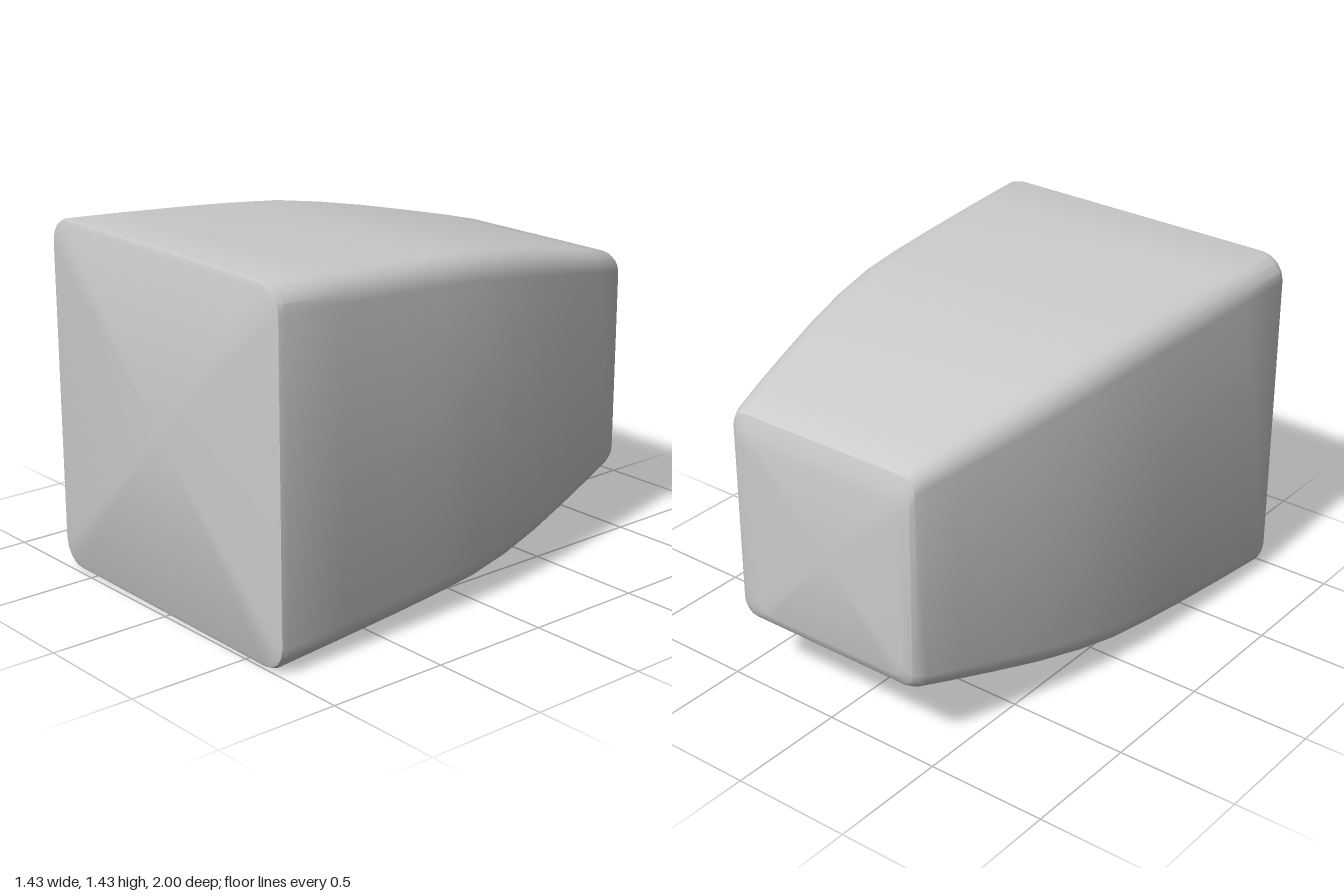
import * as THREE from 'three';
import { toCreasedNormals } from 'three/addons/utils/BufferGeometryUtils.js';

const CORNER_STEPS = 4;

// Cross-sections from front to back: z, left x, right x, bottom y, top y, corner radius
const SECTIONS = [
  [1.0, -0.695, 0.69, 0.02, 1.41, 0.09],
  [0.993, -0.711, 0.706, 0.006, 1.43, 0.1],
  [0.97, -0.718, 0.713, 0.0, 1.435, 0.105],
  [0.7, -0.703, 0.702, 0.018, 1.423, 0.1],
  [0.4, -0.682, 0.69, 0.037, 1.408, 0.1],
  [0.2, -0.665, 0.681, 0.052, 1.396, 0.1],
  [0.0, -0.645, 0.668, 0.07, 1.38, 0.1],
  [-0.2, -0.613, 0.643, 0.099, 1.35, 0.1],
  [-0.4, -0.572, 0.605, 0.139, 1.313, 0.095],
  [-0.6, -0.524, 0.56, 0.186, 1.271, 0.09],
  [-0.8, -0.472, 0.51, 0.236, 1.227, 0.08],
  [-0.94, -0.432, 0.473, 0.272, 1.192, 0.07],
  [-0.972, -0.418, 0.458, 0.288, 1.172, 0.065],
  [-0.988, -0.403, 0.43, 0.305, 1.12, 0.06],
  [-1.0, -0.36, 0.34, 0.34, 1.06, 0.05],
];

// Rounded rectangle, counter-clockwise as seen from the front
function ringPoints([z, x0, x1, y0, y1, r], isFront) {
  const centres = [[x1 - r, y0 + r], [x1 - r, y1 - r], [x0 + r, y1 - r], [x0 + r, y0 + r]];
  const points = [];
  centres.forEach(([cx, cy], corner) => {
    for (let k = 0; k <= CORNER_STEPS; k++) {
      const a = (corner - 1 + k / CORNER_STEPS) * Math.PI / 2;
      const x = cx + r * Math.cos(a);
      // the front face leans back slightly towards one side
      const lean = isFront ? 0.022 * THREE.MathUtils.clamp((-x - 0.2) / 0.5, 0, 1) : 0;
      points.push([x, cy + r * Math.sin(a), z - lean]);
    }
  });
  return points;
}

function loftGeometry() {
  const positions = [];
  const index = [];
  const n = 4 * (CORNER_STEPS + 1);
  SECTIONS.forEach((s, i) => ringPoints(s, i < 3).forEach(p => positions.push(...p)));

  // Skin between neighbouring sections
  for (let i = 0; i < SECTIONS.length - 1; i++) {
    for (let j = 0; j < n; j++) {
      const a = i * n + j, b = i * n + (j + 1) % n;
      const c = a + n, d = b + n;
      index.push(a, c, b, b, c, d);
    }
  }

  // End caps
  const last = (SECTIONS.length - 1) * n;
  const front = positions.length / 3;
  positions.push(0, 0.715, 0.998, 0, 0.7, -1.0);
  for (let j = 0; j < n; j++) {
    const k = (j + 1) % n;
    index.push(front, j, k, front + 1, last + k, last + j);
  }

  const geometry = new THREE.BufferGeometry();
  geometry.setAttribute('position', new THREE.Float32BufferAttribute(positions, 3));
  geometry.setIndex(index);
  return toCreasedNormals(geometry, 0.5);
}

export function createModel() {
  const group = new THREE.Group();
  group.name = 'taperedBlock';
  const body = new THREE.Mesh(loftGeometry(), new THREE.MeshStandardMaterial({ color: 0xcccccc }));
  body.name = 'body';
  group.add(body);
  return group;
}
